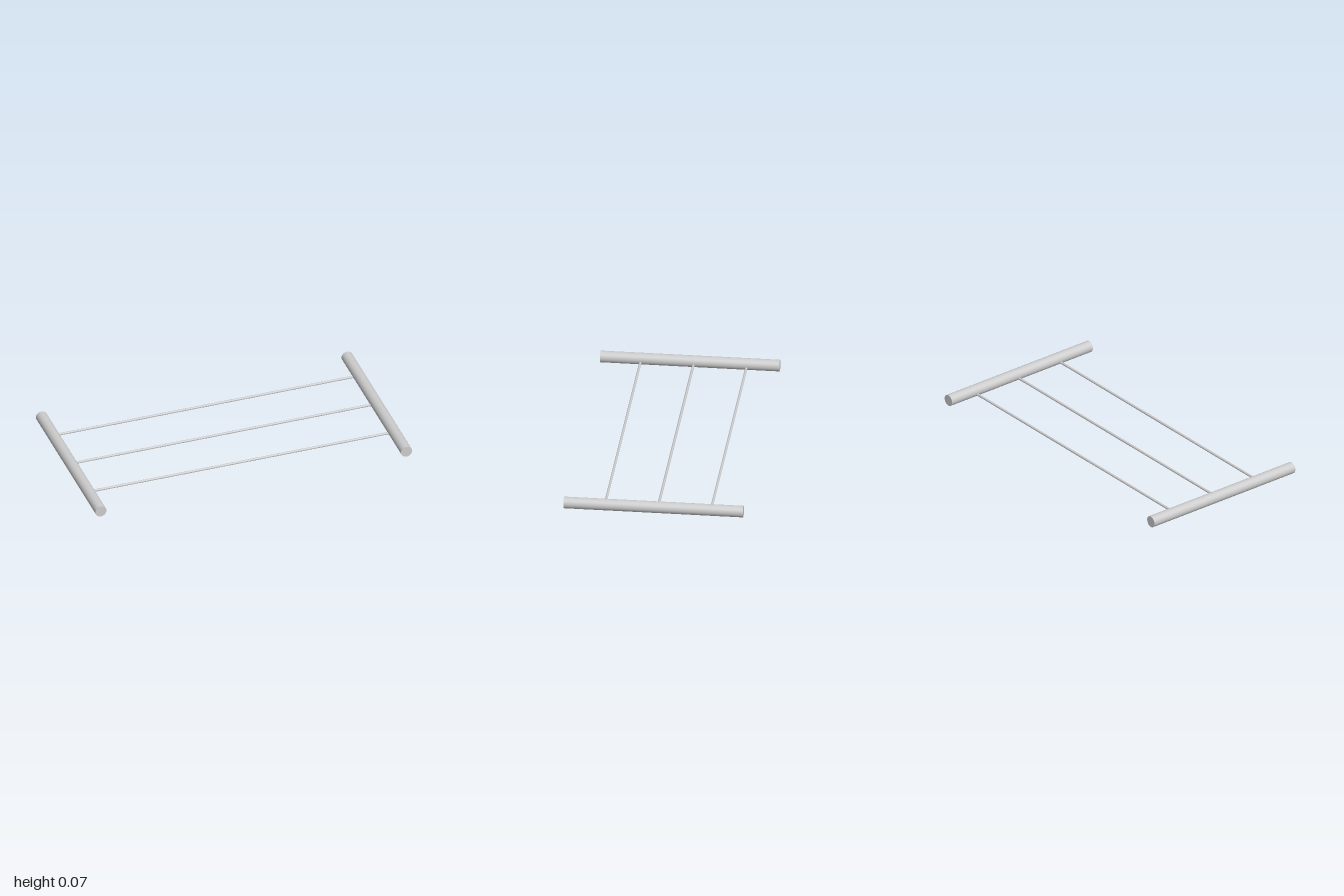
import * as THREE from 'three';

export function createModel() {
  const group = new THREE.Group();
  const material = new THREE.MeshStandardMaterial({ color: 0xcccccc });

  // Two thick side rails running front to back
  const railRadius = 0.035;
  const railGeometry = new THREE.CylinderGeometry(railRadius, railRadius, 1.076, 32);
  railGeometry.rotateX(Math.PI / 2);
  for (const side of [-1, 1]) {
    const rail = new THREE.Mesh(railGeometry, material);
    rail.name = side > 0 ? 'leftRail' : 'rightRail';
    rail.position.set(side * (1 - railRadius), railRadius, 0);
    group.add(rail);
  }

  // Three thin cross rods joining the rails, set slightly low
  const rodGeometry = new THREE.CylinderGeometry(0.0075, 0.0075, 1.9, 16);
  rodGeometry.rotateZ(Math.PI / 2);
  ['backRod', 'middleRod', 'frontRod'].forEach((name, i) => {
    const rod = new THREE.Mesh(rodGeometry, material);
    rod.name = name;
    rod.position.set(0, 0.022, -0.34 + i * 0.318);
    group.add(rod);
  });

  return group;
}
